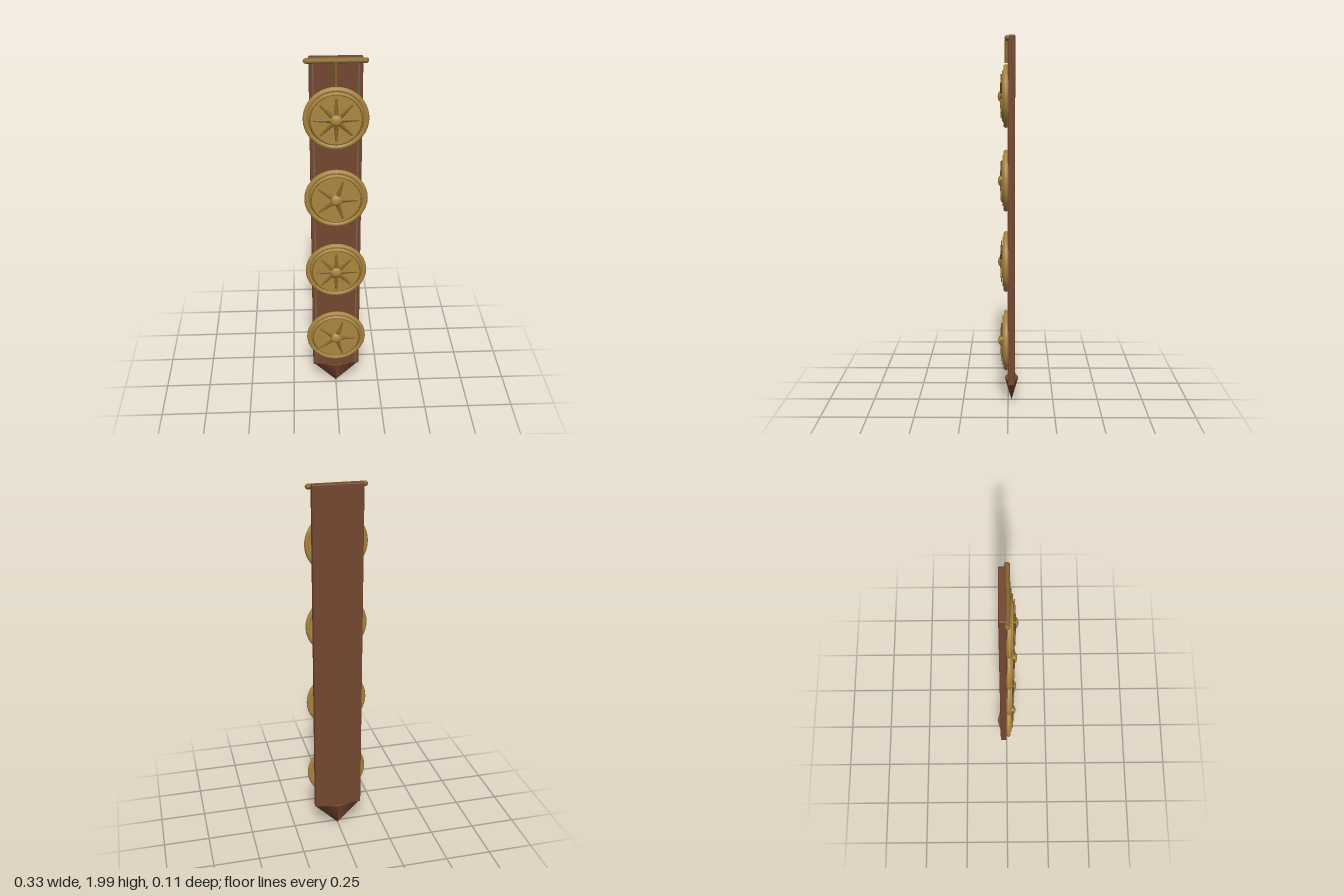
import * as THREE from 'three';
import { RoundedBoxGeometry } from 'three/addons/geometries/RoundedBoxGeometry.js';

const material = (name, color) => {
  const m = new THREE.MeshStandardMaterial({ color });
  m.name = name;
  return m;
};

export function createModel() {
  const leather = material('brown leather', 0x74472f);
  const gold = material('bright brass', 0xab8740);
  const darkGold = material('dark brass', 0x86682b);
  const thread = material('grey thread', 0x77705a);

  const root = new THREE.Group();
  root.name = 'hangingStrap';

  const add = (parent, name, geometry, mat, x = 0, y = 0, z = 0) => {
    const mesh = new THREE.Mesh(geometry, mat);
    mesh.name = name;
    mesh.position.set(x, y, z);
    parent.add(mesh);
    return mesh;
  };

  // Leather strap and its diamond-section point
  add(root, 'strap', new RoundedBoxGeometry(0.266, 1.86, 0.037, 2, 0.006), leather, 0, 1.07, -0.0185);
  const tip = new THREE.ConeGeometry(0.133, 0.132, 4);
  tip.rotateX(Math.PI);
  tip.scale(1, 1, 0.285);
  add(root, 'strapTip', tip, leather, 0, 0.074, -0.019);

  // Stitched seam along each edge
  for (const side of [-1, 1]) {
    add(root, 'seam', new THREE.CylinderGeometry(0.004, 0.004, 1.82, 6), thread, side * 0.112, 1.07, -0.001);
  }

  // Top bar and hanger
  const bar = new THREE.CapsuleGeometry(0.014, 0.292, 3, 10);
  bar.rotateZ(Math.PI / 2);
  add(root, 'topBar', bar, darkGold, 0, 1.985, 0.003);
  add(root, 'hanger', new THREE.CylinderGeometry(0.009, 0.009, 0.12, 8), darkGold, 0, 1.92, 0.009);

  // Tapered ray that points along +x from the boss
  const ray = new THREE.CylinderGeometry(0.0045, 0.013, 0.095, 8);
  ray.rotateZ(-Math.PI / 2);
  ray.scale(1, 1, 0.6);
  ray.translate(0.067, 0, 0);

  const plate = new THREE.CylinderGeometry(0.135, 0.152, 0.028, 40);
  plate.rotateX(Math.PI / 2);
  const boss = new THREE.SphereGeometry(0.032, 20, 12);
  boss.scale(1, 1, 0.65);

  // Medallions alternate between eight and five rays
  [1.69, 1.244, 0.802, 0.356].forEach((y, i) => {
    const disc = new THREE.Group();
    disc.name = 'medallion';
    disc.position.y = y;
    root.add(disc);
    add(disc, 'plate', plate, gold, 0, 0, 0.014);
    add(disc, 'rim', new THREE.TorusGeometry(0.152, 0.0145, 6, 40), gold, 0, 0, 0.011);
    add(disc, 'innerRing', new THREE.TorusGeometry(0.131, 0.004, 6, 40), darkGold, 0, 0, 0.027);
    add(disc, 'boss', boss, gold, 0, 0, 0.034);
    const count = i % 2 ? 5 : 8;
    for (let k = 0; k < count; k++) {
      add(disc, 'ray', ray, darkGold, 0, 0, 0.036).rotation.z = (k / count) * Math.PI * 2;
    }
  });

  return root;
}
